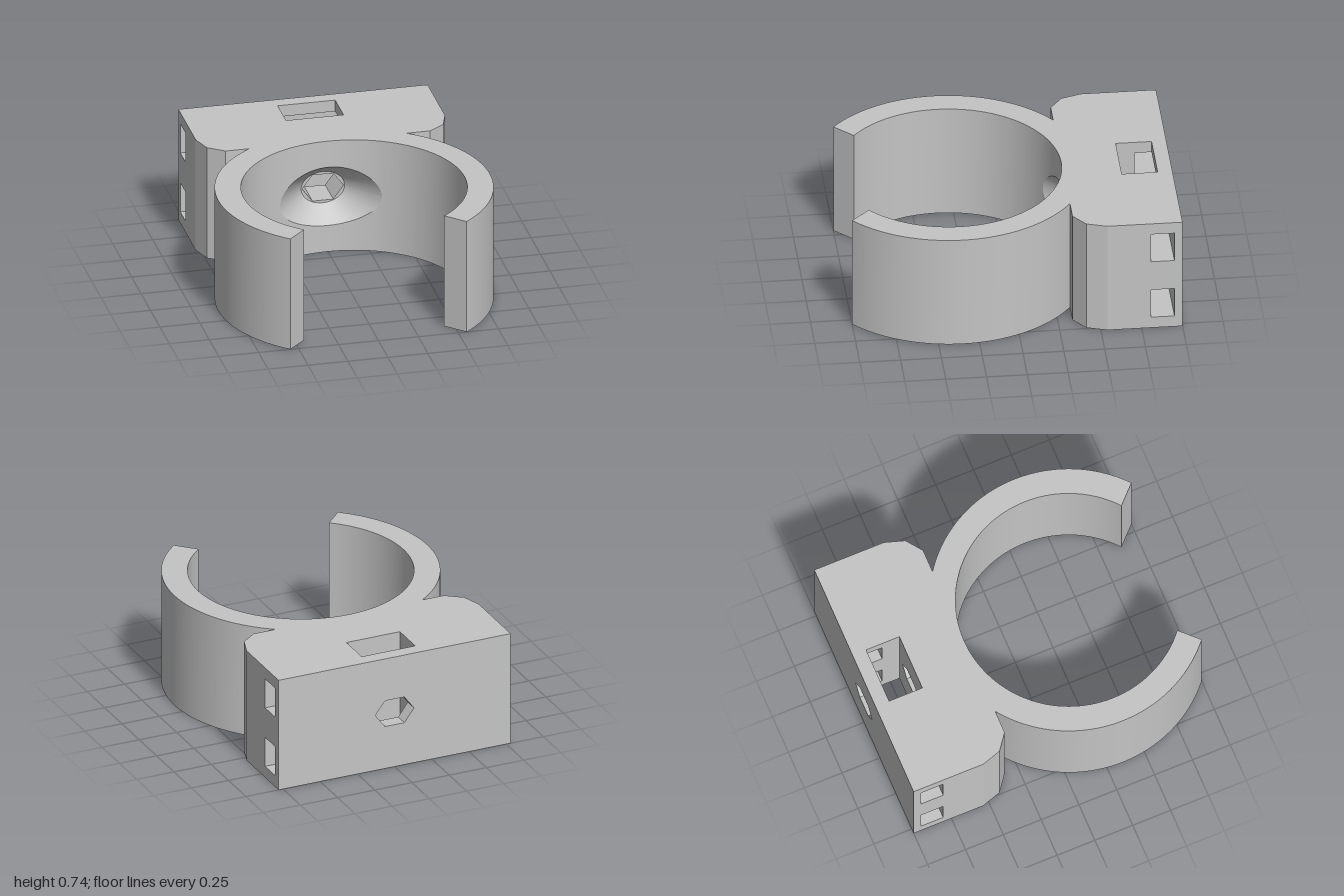
import * as THREE from 'three';
import { mergeGeometries } from 'three/addons/utils/BufferGeometryUtils.js';

const H = 0.74, MID = 0.37;                 // clip height and hole centre
const CZ = 0.353, RO = 0.85, RI = 0.69;     // ring centre and radii
const W = 0.78, BACK = -1, SIDE = -0.54;    // mounting block
const SX = 0.18, SZ0 = -0.91, SZ1 = -0.69;  // vertical slot
const TZ0 = -0.95, TZ1 = -0.805;            // cross tunnels
const TUNNELS = [[0.075, 0.27], [0.47, 0.665]];
const CONE_Z = -0.475, SQUASH = 0.77;       // countersink floor, height ratio

const rect = (u0, u1, v0, v1) => [[u0, v0], [u1, v0], [u1, v1], [u0, v1]];
const arc = (r, a, b, n) => Array.from({ length: n + 1 }, (_, i) => {
  const t = a + (b - a) * i / n;
  return [r * Math.sin(t), CZ + r * Math.cos(t)];
});
const mirror = (pts) => pts.map(([x, z]) => [-x, z]).reverse();
const oval = (n, r) => Array.from({ length: n }, (_, i) => {
  const t = i / n * Math.PI * 2;
  return [r * Math.cos(t), MID + SQUASH * r * Math.sin(t)];
});

// Flat face at a value along an axis, facing sign; 2D axes are (z,y), (x,z) or (x,y)
function face(axis, value, sign, outline, holes = []) {
  const vecs = (pts) => pts.map(([u, v]) => new THREE.Vector2(u, v));
  const shape = new THREE.Shape(vecs(outline));
  shape.holes = holes.map((h) => new THREE.Path(vecs(h)));
  const flat = new THREE.ShapeGeometry(shape).toNonIndexed().attributes.position;
  const flip = (axis === 'z') !== (sign > 0);
  const out = [];
  for (let i = 0; i < flat.count; i += 3) {
    for (const k of flip ? [0, 2, 1] : [0, 1, 2]) {
      const u = flat.getX(i + k), v = flat.getY(i + k);
      out.push(...(axis === 'x' ? [value, v, u] : axis === 'y' ? [u, value, v] : [u, v, value]));
    }
  }
  const g = new THREE.BufferGeometry();
  g.setAttribute('position', new THREE.Float32BufferAttribute(out, 3));
  g.computeVertexNormals();
  return g;
}

// Smooth band between two rows of 3D points
function strip(a, b) {
  const n = a.length, index = [];
  for (let i = 0; i < n - 1; i++) index.push(i, i + 1, n + i + 1, i, n + i + 1, n + i);
  const g = new THREE.BufferGeometry();
  g.setAttribute('position', new THREE.Float32BufferAttribute([...a, ...b].flat(), 3));
  g.setIndex(index);
  g.computeVertexNormals();
  return g.toNonIndexed();
}
const wall = (pts) => strip(pts.map(([x, z]) => [x, 0, z]), pts.map(([x, z]) => [x, H, z]));
const facets = (pts) => pts.slice(1).map((p, i) => wall([pts[i], p]));

// Rim where the countersink cone meets the ring's inner surface
const coneRadius = (z) => 0.253 + 0.85 * (z - (CZ - RI));
function rimPoint(t) {
  let r = 0.3, z = 0;
  for (let i = 0; i < 60; i++) {
    z = CZ - Math.sqrt(RI * RI - (r * Math.cos(t)) ** 2);
    r = coneRadius(z);
  }
  return [r * Math.cos(t), MID + SQUASH * r * Math.sin(t), z];
}

export function createModel() {
  const group = new THREE.Group();
  const grey = new THREE.MeshStandardMaterial({ color: 0xc4c4c4 });
  grey.name = 'grey plastic';
  const add = (name, parts) => {
    const mesh = new THREE.Mesh(mergeGeometries(parts), grey);
    mesh.name = name;
    group.add(mesh);
  };

  // Plan outline, counterclockwise from above
  const rim = Array.from({ length: 65 }, (_, i) => rimPoint(i / 64 * Math.PI * 2));
  const upperRim = rim.slice(0, 33).reverse();
  const lowerRim = rim.slice(32);
  const columns = upperRim.map(([x, , z]) => [x, z]);
  const rimAngle = Math.PI - Math.asin(rim[0][0] / RI);
  const innerLeft = arc(RI, rimAngle, 0.688, 40);
  const innerRight = mirror(innerLeft);
  const outerLeft = arc(RO, 0.706, Math.acos((-0.34 - CZ) / RO), 48);
  const joint = outerLeft[outerLeft.length - 1];
  const shoulder = [joint, [0.64, -0.34], [0.74, -0.415], [W, SIDE]];
  const half = [...outerLeft, ...shoulder.slice(1), [W, BACK]];
  const outline = [...half, ...mirror(half), ...innerRight,
    ...columns.slice(1, -1), ...innerLeft];

  // Top and bottom
  const slot = rect(-SX, SX, SZ0, SZ1);
  add('topFace', [face('y', H, 1, outline, [slot])]);
  add('bottomFace', [face('y', 0, -1, outline, [slot])]);

  // Open ring: outer walls, tips, inner wall around the countersink
  const tip = [innerLeft[innerLeft.length - 1], outerLeft[0]];
  add('ringOuterWall', [wall(outerLeft), wall(mirror(outerLeft))]);
  add('ringTips', [wall(tip), wall(mirror(tip))]);
  add('ringInnerWall', [
    wall(innerRight), wall(innerLeft),
    strip(upperRim, upperRim.map(([x, , z]) => [x, H, z])),
    strip(lowerRim.map(([x, , z]) => [x, 0, z]), lowerRim),
  ]);

  // Countersink and six-sided bolt hole
  const floorR = coneRadius(CONE_Z);
  const floor = oval(64, floorR);
  const hex = oval(6, 0.13).map(([x, y]) => [x, MID + (y - MID)]);
  const at = (pts, z) => pts.map(([x, y]) => [x, y, z]);
  add('countersink', [
    strip(rim, at([...floor, floor[0]], CONE_Z)),
    face('z', CONE_Z, 1, floor, [hex]),
  ]);
  const hexTube = (z0, z1) => hex.map((p, i) => {
    const edge = [p, hex[(i + 1) % 6]];
    return strip(at(edge, z0), at(edge, z1));
  });
  add('boltHole', [...hexTube(CONE_Z, SZ1), ...hexTube(SZ0, BACK)]);

  // Mounting block exterior
  const ports = TUNNELS.map(([y0, y1]) => rect(TZ0, TZ1, y0, y1));
  add('blockShoulders', [...facets(shoulder), ...facets(mirror(shoulder))]);
  add('blockBack', [face('z', BACK, -1, rect(-W, W, 0, H), [hex])]);
  add('blockSides', [1, -1].map((s) => face('x', s * W, s, rect(BACK, SIDE, 0, H), ports)));

  // Vertical slot, opened where the tunnels cross it
  const [[a0, a1], [b0, b1]] = TUNNELS;
  const notched = [[SZ1, 0], [SZ1, H], [SZ0, H], [SZ0, b1], [TZ1, b1], [TZ1, b0],
    [SZ0, b0], [SZ0, a1], [TZ1, a1], [TZ1, a0], [SZ0, a0], [SZ0, 0]];
  add('slotWalls', [
    face('z', SZ1, -1, rect(-SX, SX, 0, H), [hex]),
    face('z', SZ0, 1, rect(-SX, SX, 0, a0)),
    face('z', SZ0, 1, rect(-SX, SX, a1, b0), [hex]),
    face('z', SZ0, 1, rect(-SX, SX, b1, H)),
    ...[1, -1].map((s) => face('x', s * SX, -s, notched)),
  ]);

  // Cross tunnels
  const plan = [[-W, TZ0], [W, TZ0], [W, TZ1], [SX, TZ1], [SX, SZ0],
    [-SX, SZ0], [-SX, TZ1], [-W, TZ1]];
  add('tunnelWalls', TUNNELS.flatMap(([y0, y1]) => [
    face('y', y0, 1, plan),
    face('y', y1, -1, plan),
    face('z', TZ0, 1, rect(-W, W, y0, y1)),
    face('z', TZ1, -1, rect(SX, W, y0, y1)),
    face('z', TZ1, -1, rect(-W, -SX, y0, y1)),
  ]));
  return group;
}
